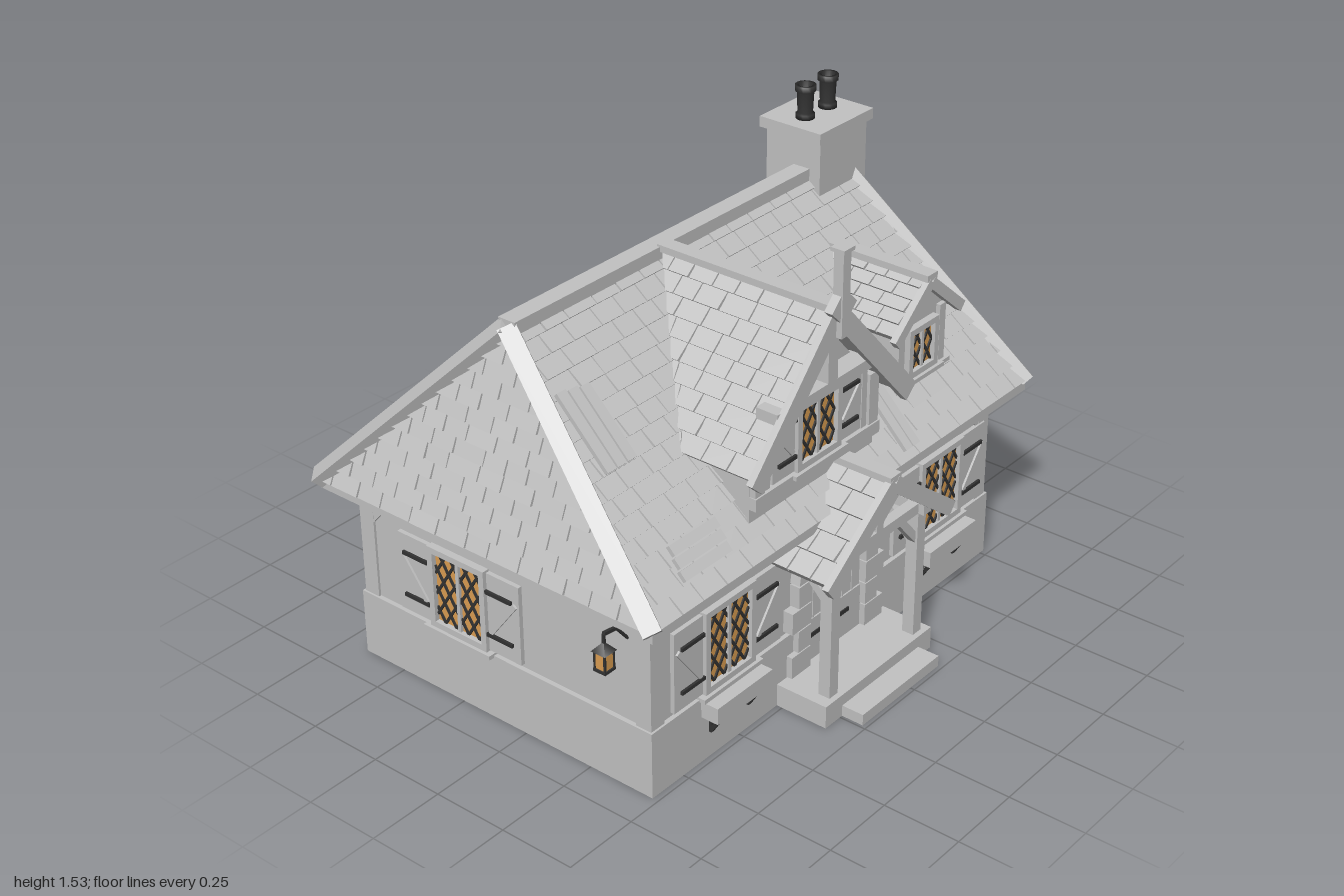
import * as THREE from 'three';
import { mergeGeometries } from 'three/addons/utils/BufferGeometryUtils.js';

const V = (x, y, z) => new THREE.Vector3(x, y, z);
const mat = (name, color, side = THREE.FrontSide) => {
  const m = new THREE.MeshStandardMaterial({ color, side });
  m.name = name;
  return m;
};

export function createModel() {
  const root = new THREE.Group();
  root.name = 'cottage';
  const stone = mat('stoneGrey', 0xc2c2c2);
  const amber = mat('amberGlass', 0xdc9e52);
  const iron = mat('blackIron', 0x333333);
  let seed = 7;
  const rnd = () => (seed = (seed * 16807) % 2147483647) / 2147483647;

  const add = (name, geo, m = stone, parent = root) => {
    const mesh = new THREE.Mesh(geo, m);
    mesh.name = name;
    parent.add(mesh);
    return mesh;
  };
  // Box given by its min and max on each axis
  const box = (name, x0, x1, y0, y1, z0, z1, m = stone, parent = root) => {
    const b = add(name, new THREE.BoxGeometry(x1 - x0, y1 - y0, z1 - z0), m, parent);
    b.position.set((x0 + x1) / 2, (y0 + y1) / 2, (z0 + z1) / 2);
    return b;
  };
  // Beam from a to b; t is its size along the hint direction, w across it
  const beam = (name, a, b, w, t, hint = V(0, 0, 1), m = stone, parent = root) => {
    const d = b.clone().sub(a), len = d.length();
    d.normalize();
    const y = hint.clone().addScaledVector(d, -hint.dot(d)).normalize();
    const mesh = add(name, new THREE.BoxGeometry(len, t, w), m, parent);
    mesh.quaternion.setFromRotationMatrix(new THREE.Matrix4().makeBasis(d, y, d.clone().cross(y)));
    mesh.position.copy(a).add(b).multiplyScalar(0.5);
    return mesh;
  };
  // Six-sided block from four lower and four upper corners
  const hexa = (p) => {
    const pos = [];
    for (const [a, b, c, d] of [[4, 5, 6, 7], [3, 2, 1, 0], [0, 1, 5, 4], [1, 2, 6, 5], [2, 3, 7, 6], [3, 0, 4, 7]])
      for (const i of [a, b, c, a, c, d]) pos.push(p[i].x, p[i].y, p[i].z);
    const g = new THREE.BufferGeometry();
    g.setAttribute('position', new THREE.Float32BufferAttribute(pos, 3));
    g.computeVertexNormals();
    return g;
  };
  // Shingled roof plane: a,b along the eave (left to right from outside), c,d along the top
  const roofFace = (name, a, b, c, d, rows, width) => {
    const e = b.clone().sub(a), len = e.length();
    e.normalize();
    const dl = d.clone().sub(a).dot(e), dr = c.clone().sub(a).dot(e);
    const up = d.clone().sub(a).addScaledVector(e, -dl);
    const n = e.clone().cross(up).normalize();
    const at = (s, t, h) => a.clone().addScaledVector(e, s).addScaledVector(up, t).addScaledVector(n, h);
    const slab = [a, b, c, d];
    const geos = [hexa([...slab.map((p) => p.clone().addScaledVector(n, -0.018)), ...slab])];
    for (let r = 0; r < rows; r++) {
      const t0 = r / rows, t1 = (r + 1) / rows;
      const lim = (s, t) => Math.min(Math.max(s, dl * t), len + (dr - len) * t);
      let s = Math.min(0, dl) - width * (r % 2 ? 0.5 : 0) - rnd() * width * 0.2;
      while (s < Math.max(len, dr)) {
        const w = width * (0.8 + rnd() * 0.4), th = 0.011 + rnd() * 0.004;
        const q = [lim(s, t0), lim(s + w - 0.005, t0), lim(s + w - 0.005, t1), lim(s, t1)];
        s += w;
        if (q[1] - q[0] < 0.004 && q[2] - q[3] < 0.004) continue;
        const t = [t0, t0, t1, t1];
        geos.push(hexa([...q.map((v, i) => at(v, t[i], -0.004)), ...q.map((v, i) => at(v, t[i], i < 2 ? th : 0.004))]));
      }
    }
    add(name, mergeGeometries(geos));
    return n;
  };
  // Gabled roof facing front, with bargeboards and ridge cap
  const gable = (name, cx, apex, hw, eave, zf, zEave, zRidge, rows, width, board) => {
    const L = (z) => V(cx - hw, eave, z), R = (z) => V(cx + hw, eave, z), T = (z) => V(cx, apex, z);
    roofFace(name + 'RoofLeft', L(zEave), L(zf), T(zf), T(zRidge), rows, width);
    roofFace(name + 'RoofRight', R(zf), R(zEave), T(zRidge), T(zf), rows, width);
    for (const s of [-1, 1])
      beam(name + 'Bargeboard', V(cx + s * (hw + 0.01), eave - 0.015, zf + 0.008), V(cx, apex - 0.01, zf + 0.008), board, 0.022);
    beam(name + 'RidgeCap', V(cx, apex + 0.008, zRidge), V(cx, apex + 0.008, zf + 0.018), 0.05, 0.022, V(0, 1, 0));
  };
  const prism = (pts, depth) => new THREE.ExtrudeGeometry(new THREE.Shape(pts.map(([x, y]) => new THREE.Vector2(x, y))), { depth, bevelEnabled: false });

  // Leaded window in local space, facing +z
  const windowUnit = (name, pos, rotY, w, h, { shutter = 0, planter = false, back = 0.09 } = {}) => {
    const g = new THREE.Group();
    g.name = name;
    g.position.copy(pos);
    g.rotation.y = rotY;
    root.add(g);
    const x = w / 2, y = h / 2, f = 0.02;
    box('glass', -x, x, -y, y, -back, 0.008, amber, g);
    for (const s of [-1, 1]) {
      box('frameSide', s * (x + f / 2) - f / 2, s * (x + f / 2) + f / 2, -y - f, y + f, -0.01, 0.024, stone, g);
      box('frameRail', -x, x, s * (y + f / 2) - f / 2, s * (y + f / 2) + f / 2, -0.01, 0.024, stone, g);
    }
    box('mullion', -0.006, 0.006, -y, y, 0, 0.018, stone, g);
    box('sill', -x - 0.04, x + 0.04, -y - f - 0.014, -y - f, -0.01, 0.035, stone, g);
    // Diamond leading, clipped to each casement
    const k = 0.62, step = 0.044;
    for (const x0 of [-x, 0]) for (const s of [-1, 1])
      for (let c = -h * k; c < x + h * k; c += step) {
        const ys = [(0 - c) / (s * k), (x - c) / (s * k)].sort((p, q) => p - q);
        const lo = Math.max(0, ys[0]), hi = Math.min(h, ys[1]);
        if (hi - lo < 0.01) continue;
        beam('leading', V(x0 + c + s * k * lo, lo - y, 0.011), V(x0 + c + s * k * hi, hi - y, 0.011), 0.008, 0.005, V(0, 0, 1), iron, g);
      }
    if (shutter) for (const s of [-1, 1]) {
      const a = s * (x + f + 0.003), b = a + s * shutter;
      box('shutter', Math.min(a, b), Math.max(a, b), -y - 0.015, y + 0.015, -0.005, 0.014, stone, g);
      beam('shutterBrace', V(a + s * 0.012, -y + 0.05, 0.017), V(b - s * 0.012, y - 0.05, 0.017), 0.016, 0.008, V(0, 0, 1), stone, g);
      for (const v of [-1, 1]) beam('strapHinge', V(a, v * y * 0.62, 0.02), V(a + s * shutter * 0.8, v * y * 0.62, 0.02), 0.012, 0.008, V(0, 0, 1), iron, g);
    }
    if (planter) {
      box('planter', -0.125, 0.125, -y - 0.09, -y - 0.036, 0, 0.075, stone, g);
      for (const s of [-0.085, 0.085]) {
        beam('planterBracket', V(s, -y - 0.155, 0.02), V(s, -y - 0.09, 0.06), 0.012, 0.012, V(1, 0, 0), iron, g);
        box('planterBracketPlate', s - 0.006, s + 0.006, -y - 0.16, -y - 0.09, 0.012, 0.024, iron, g);
      }
    }
  };

  // Hollow foundation and walls
  const ring = (name, x0, x1, y0, y1, z0, z1, t) => {
    box(name + 'Front', x0, x1, y0, y1, z1 - t, z1);
    box(name + 'Back', x0, x1, y0, y1, z0, z0 + t);
    box(name + 'Left', x1 - t, x1, y0, y1, z0 + t, z1 - t);
    box(name + 'Right', x0, x0 + t, y0, y1, z0 + t, z1 - t);
  };
  ring('foundation', -0.885, 0.77, 0, 0.22, -0.66, 0.48, 0.08);
  ring('wall', -0.87, 0.755, 0.22, 0.6, -0.645, 0.465, 0.065);
  for (const [x, sx] of [[-0.85, 1], [0.735, -1]]) for (const [z, sz] of [[0.445, -1], [-0.625, 1]]) {
    box('cornerPost', x - 0.028, x + 0.028, 0.22, 0.59, z - 0.028, z + 0.028);
    beam('postBrace', V(x, 0.47, z - sz * 0.012), V(x + sx * 0.1, 0.585, z - sz * 0.012), 0.028, 0.03);
    beam('postBrace', V(x - sx * 0.012, 0.47, z), V(x - sx * 0.012, 0.585, z + sz * 0.1), 0.028, 0.03, V(1, 0, 0));
  }

  // Main hipped roof
  const x0 = -0.955, x1 = 0.855, zF = 0.55, zB = -0.735, ey = 0.62, ry = 1.265;
  const fl = V(x0, ey, zF), fr = V(x1, ey, zF), bl = V(x0, ey, zB), br = V(x1, ey, zB);
  const rl = V(-0.8, ry, -0.09), rr = V(0.69, ry, -0.09);
  box('eaves', x0 + 0.004, x1 - 0.004, 0.585, 0.622, zB + 0.004, zF - 0.004);
  const nF = roofFace('roofFront', fl, fr, rr, rl, 15, 0.1);
  const nB = roofFace('roofBack', br, bl, rl, rr, 15, 0.1);
  const nR = roofFace('roofHipLeft', fr, br, rr, rr, 13, 0.1);
  const nL = roofFace('roofHipRight', bl, fl, rl, rl, 13, 0.1);
  for (const [a, b, n, m] of [[fl, rl, nF, nL], [fr, rr, nF, nR], [bl, rl, nB, nL], [br, rr, nB, nR]])
    beam('hipCap', a, b, 0.055, 0.04, n.clone().add(m));
  beam('ridgeCap', rl, rr, 0.06, 0.045, V(0, 1, 0));
  // Repair boards on the front slope
  const onRoof = (x, z) => V(x, ey + ((zF - z) * (ry - ey)) / (zF + 0.09), z).addScaledVector(nF, 0.02);
  for (let i = 0; i < 3; i++) {
    beam('repairBoard', onRoof(-0.785 + i * 0.042, 0.25), onRoof(-0.785 + i * 0.042, 0.07 + i * 0.005), 0.036, 0.014, nF);
    beam('repairBoard', onRoof(-0.78 + i * 0.008, 0.49 - i * 0.026), onRoof(-0.58 + i * 0.006, 0.49 - i * 0.026), 0.032, 0.014, nF);
    if (i < 2) beam('repairBoard', onRoof(0.218 + i * 0.037, 0.53), onRoof(0.218 + i * 0.037, 0.38), 0.032, 0.014, nF);
  }

  // Chimney with two pots
  box('chimney', 0.51, 0.745, 0.95, 1.39, -0.225, -0.02);
  box('chimneyCap', 0.492, 0.762, 1.385, 1.42, -0.24, -0.008);
  const pot = [[0, 0], [0.03, 0], [0.03, 0.015], [0.024, 0.02], [0.027, 0.085], [0.033, 0.09], [0.033, 0.108], [0.022, 0.108], [0.02, 0.06], [0, 0.06]];
  for (const x of [0.57, 0.683])
    add('chimneyPot', new THREE.LatheGeometry(pot.map(([a, b]) => new THREE.Vector2(a, b)), 16), iron).position.set(x, 1.42, -0.125);

  // Large gabled dormer
  const cx = -0.17;
  add('largeDormerWall', prism([[-0.29, 0.6], [0.29, 0.6], [0.29, 0.915], [0, 1.235], [-0.29, 0.915]], 0.48)).position.set(cx, 0, 0);
  gable('largeDormer', cx, 1.275, 0.35, 0.885, 0.545, 0.29, -0.07, 9, 0.09, 0.062);
  box('dormerSillBeam', cx - 0.29, cx + 0.29, 0.745, 0.785, 0.47, 0.505);
  box('dormerCollarBeam', cx - 0.25, cx + 0.25, 1.015, 1.05, 0.47, 0.545);
  box('dormerKingPost', cx - 0.022, cx + 0.022, 1.05, 1.25, 0.47, 0.545);
  for (const s of [-1, 1]) {
    box('dormerPost', cx + s * 0.265 - 0.022, cx + s * 0.265 + 0.022, 0.785, 0.95, 0.47, 0.5);
    box('dormerStud', cx + s * 0.225 - 0.012, cx + s * 0.225 + 0.012, 0.785, 1.015, 0.47, 0.494);
  }
  windowUnit('largeDormerWindow', V(cx, 0.9, 0.482), 0, 0.165, 0.19, { shutter: 0.1, back: 0.03 });
  box('finial', cx - 0.017, cx + 0.017, 1.2, 1.465, 0.55, 0.583);
  box('finialCap', cx - 0.024, cx + 0.024, 1.46, 1.472, 0.543, 0.59);
  box('finialCollar', cx - 0.04, cx + 0.04, 1.25, 1.33, 0.55, 0.578).rotation.z = Math.PI / 4;

  // Small dormer
  add('smallDormerWall', prism([[-0.12, 0.75], [0.12, 0.75], [0.12, 0.965], [0, 1.07], [-0.12, 0.965]], 0.3)).position.set(0.45, 0, 0.105);
  gable('smallDormer', 0.45, 1.095, 0.16, 0.955, 0.43, 0.235, 0.08, 5, 0.08, 0.035);
  windowUnit('smallDormerWindow', V(0.45, 0.86, 0.405), 0, 0.11, 0.125, { back: 0.03 });
  for (const s of [-1, 1]) box('smallDormerPost', 0.45 + s * 0.105 - 0.015, 0.45 + s * 0.105 + 0.015, 0.77, 0.965, 0.395, 0.42);
  box('smallDormerSill', 0.31, 0.59, 0.755, 0.775, 0.38, 0.43);

  // Porch and steps
  const px = -0.05;
  gable('porch', px, 0.725, 0.29, 0.505, 0.67, 0.46, 0.46, 5, 0.08, 0.05);
  box('upperStep', -0.32, 0.21, 0, 0.075, 0.45, 0.66);
  box('lowerStep', -0.24, 0.145, 0, 0.037, 0.6, 0.735);
  box('porchTie', px - 0.24, px + 0.24, 0.505, 0.54, 0.605, 0.64);
  box('porchKingPost', px - 0.016, px + 0.016, 0.54, 0.7, 0.605, 0.64);
  for (const s of [-1, 1]) {
    const x = px + s * 0.21;
    box('porchPost', x - 0.02, x + 0.02, 0.075, 0.51, 0.602, 0.642);
    box('porchPlate', x - 0.018, x + 0.018, 0.505, 0.54, 0.46, 0.66);
    beam('porchBrace', V(x, 0.4, 0.622), V(x - s * 0.1, 0.515, 0.622), 0.026, 0.026);
    beam('porchBrace', V(x, 0.4, 0.61), V(x, 0.515, 0.5), 0.026, 0.026, V(1, 0, 0));
    beam('porchStrut', V(px, 0.55, 0.622), V(px + s * 0.1, 0.63, 0.622), 0.024, 0.024);
  }

  // Arched door with stone surround
  const arch = new THREE.Shape();
  arch.moveTo(-0.135, 0.07).lineTo(0.135, 0.07).lineTo(0.135, 0.385);
  arch.absarc(0, 0.385, 0.135, 0, Math.PI);
  add('door', new THREE.ExtrudeGeometry(arch, { depth: 0.09, bevelEnabled: false, curveSegments: 16 })).position.set(px, 0, 0.385);
  for (let i = -2; i <= 2; i++) box('doorPlankBatten', px + i * 0.048 - 0.003, px + i * 0.048 + 0.003, 0.08, 0.48, 0.47, 0.478);
  for (const s of [-1, 1]) for (let i = 0; i < 4; i++) {
    const a = px + s * 0.135, b = px + s * (i % 2 ? 0.195 : 0.225);
    box('jambStone', Math.min(a, b), Math.max(a, b), 0.078 + i * 0.077, 0.151 + i * 0.077, 0.45, 0.5);
  }
  for (let i = 0; i < 9; i++) {
    const a = (i * Math.PI) / 9 + 0.012, b = ((i + 1) * Math.PI) / 9 - 0.012, pt = (r, t) => [r * Math.cos(t), r * Math.sin(t)];
    add('archStone', prism([pt(0.135, a), pt(0.195, a), pt(0.195, b), pt(0.135, b)], 0.05)).position.set(px, 0.385, 0.45);
  }
  for (const y of [0.165, 0.36]) box('doorHinge', px - 0.13, px + 0.075, y - 0.007, y + 0.007, 0.474, 0.484, iron);
  add('doorRing', new THREE.TorusGeometry(0.016, 0.004, 8, 16), iron).position.set(0.015, 0.335, 0.484);

  // House windows
  for (const x of [-0.545, 0.495]) windowUnit('frontWindow', V(x, 0.365, 0.465), 0, 0.185, 0.235, { shutter: 0.125, planter: true });
  for (const x of [-0.52, 0.395]) windowUnit('backWindow', V(x, 0.365, -0.645), Math.PI, 0.185, 0.235, { shutter: 0.125 });
  windowUnit('leftWindow', V(0.755, 0.365, -0.42), Math.PI / 2, 0.185, 0.235);
  windowUnit('rightWindow', V(-0.87, 0.365, -0.25), -Math.PI / 2, 0.185, 0.235, { shutter: 0.125 });

  // Lean-to shed with plank walls
  roofFace('shedRoof', V(0.985, 0.435, 0.35), V(0.985, 0.435, -0.235), V(0.755, 0.575, -0.235), V(0.755, 0.575, 0.35), 4, 0.09);
  for (let i = 0; i < 12; i++) {
    const z = -0.22 + i * 0.0465;
    box('shedPlank', 0.94, 0.95 + (i % 2) * 0.007, 0, 0.44, z, z + 0.042);
    box('shedBatten', 0.945, 0.965, 0, 0.42, z - 0.006, z + 0.006);
  }
  for (const z of [0.325, -0.222]) {
    for (let i = 0; i < 4; i++) box('shedEndPlank', 0.768 + i * 0.045, 0.81 + i * 0.045, 0, 0.545 - i * 0.028, z - 0.008, z + 0.008 + (i % 2) * 0.005);
    box('shedPost', 0.94, 0.97, 0, 0.43, z - 0.014, z + 0.014);
    beam('shedRafter', V(0.765, 0.54, z), V(0.97, 0.415, z), 0.03, 0.035);
  }

  // Wall lantern
  const lx = -0.972, lz = 0.39;
  beam('lanternArm', V(-0.87, 0.55, lz), V(lx, 0.565, lz), 0.01, 0.01, V(0, 0, 1), iron);
  beam('lanternStay', V(-0.875, 0.5, lz), V(-0.92, 0.555, lz), 0.008, 0.008, V(0, 0, 1), iron);
  box('lanternHook', lx - 0.004, lx + 0.004, 0.53, 0.565, lz - 0.004, lz + 0.004, iron);
  box('lanternGlass', lx - 0.018, lx + 0.018, 0.455, 0.512, lz - 0.018, lz + 0.018, amber);
  box('lanternBase', lx - 0.022, lx + 0.022, 0.447, 0.456, lz - 0.022, lz + 0.022, iron);
  const cap = add('lanternCap', new THREE.ConeGeometry(0.036, 0.03, 4).rotateY(Math.PI / 4), iron);
  cap.position.set(lx, 0.525, lz);
  for (const a of [-1, 1]) for (const b of [-1, 1])
    box('lanternBar', lx + a * 0.018 - 0.003, lx + a * 0.018 + 0.003, 0.455, 0.512, lz + b * 0.018 - 0.003, lz + b * 0.018 + 0.003, iron);
  return root;
}
